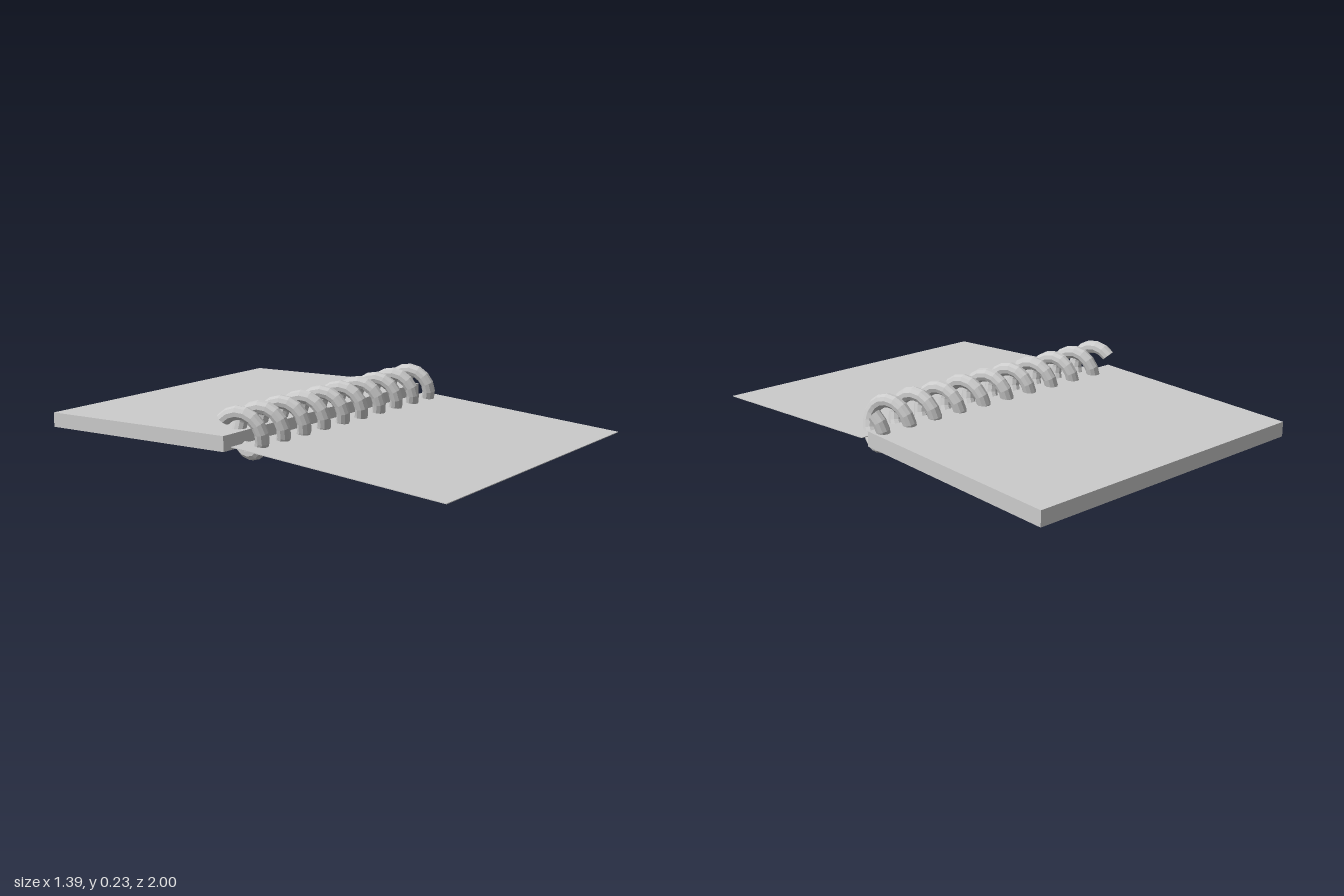
import * as THREE from 'three';

const grey = new THREE.MeshStandardMaterial({ color: 0xcccccc, flatShading: true });

// Slab spanning the page width, with its side outline given as [z, y] corners
function slab(name, corners) {
  const width = 1.385;
  const shape = new THREE.Shape(corners.map(([z, y]) => new THREE.Vector2(-z, y)));
  const geometry = new THREE.ExtrudeGeometry(shape, { depth: width, bevelEnabled: false });
  geometry.rotateY(Math.PI / 2); // outline into the z-y plane, depth along +x
  geometry.translate(-0.699, 0, 0);
  const mesh = new THREE.Mesh(geometry, grey);
  mesh.name = name;
  return mesh;
}

// Helix running along x
class Helix extends THREE.Curve {
  constructor(start, end) {
    super();
    this.start = start;
    this.end = end;
  }
  getPoint(t, target = new THREE.Vector3()) {
    const a = this.start + (this.end - this.start) * t;
    const radius = 0.087;
    return target.set(
      -0.645 + (0.1325 * a) / (2 * Math.PI),
      0.117 + radius * Math.cos(a),
      0.017 + radius * Math.sin(a)
    );
  }
}

export function createModel() {
  const model = new THREE.Group();
  model.name = 'spiralNotebook';

  // Stack of pages behind the binding, and the thin cover folded open to the front
  model.add(slab('pageBlock', [[-0.02, 0.115], [-0.02, 0.051], [-1, 0.021], [-1, 0.085]]));
  model.add(slab('openCover', [[1, 0.019], [1, 0.016], [0.02, 0.075], [0.02, 0.078]]));

  // Spiral wire with closed ends
  const binding = new THREE.Group();
  binding.name = 'spiralBinding';
  const path = new Helix(-0.9, 20 * Math.PI - 0.7);
  const wireRadius = 0.029, sides = 10;
  const wire = new THREE.Mesh(new THREE.TubeGeometry(path, 160, wireRadius, sides), grey);
  wire.name = 'wire';
  binding.add(wire);
  for (const t of [0, 1]) {
    const cap = new THREE.Mesh(new THREE.CircleGeometry(wireRadius, sides), grey);
    const outward = path.getTangent(t).multiplyScalar(t ? 1 : -1);
    cap.position.copy(path.getPoint(t));
    cap.quaternion.setFromUnitVectors(new THREE.Vector3(0, 0, 1), outward);
    cap.name = t ? 'wireEndLeft' : 'wireEndRight';
    binding.add(cap);
  }
  model.add(binding);

  return model;
}
